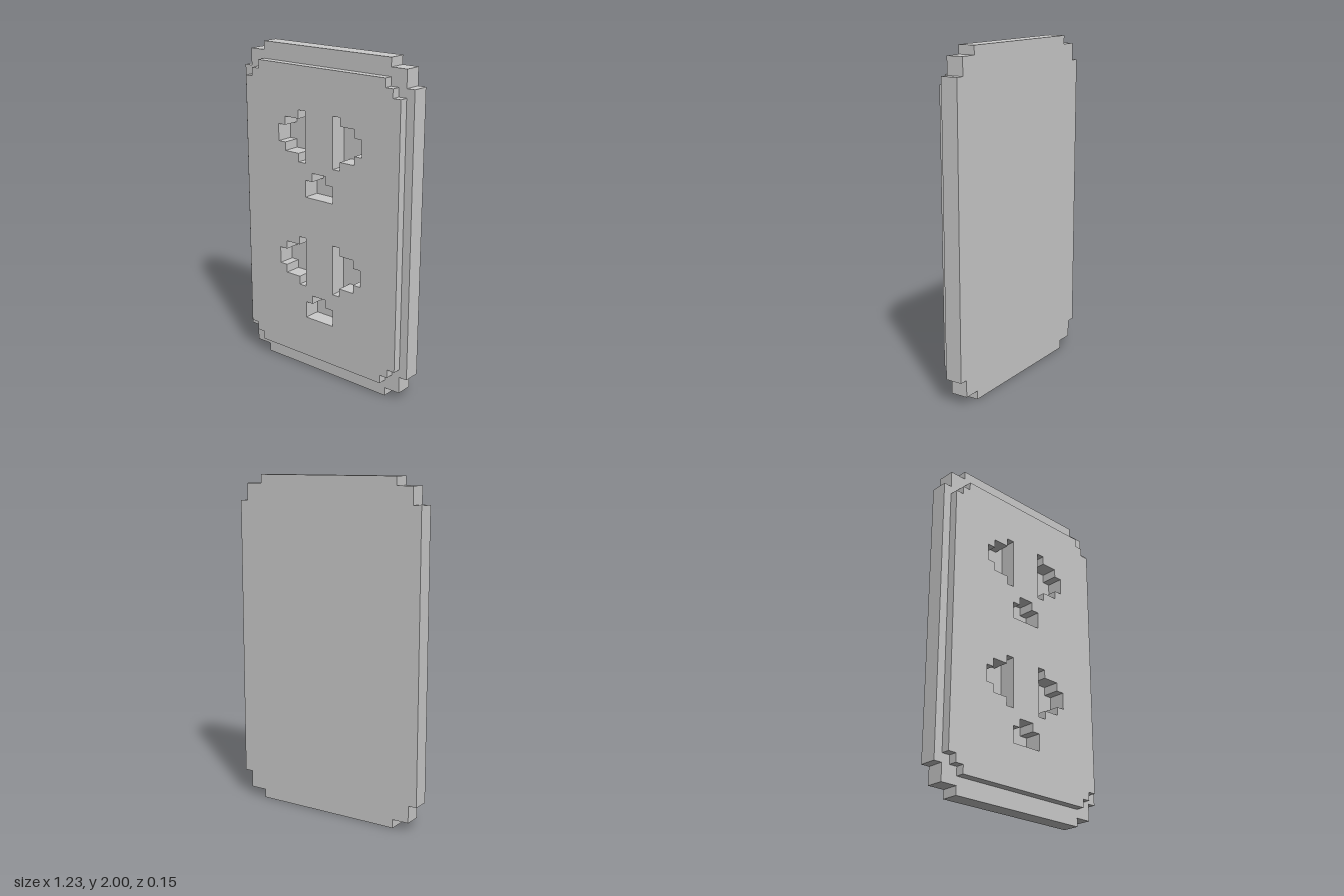
import * as THREE from 'three';

const U = 2 / 39; // side of one grid cell; all outlines are in cells

// Stepped outline mirrored in x and about mid-height: corners are [halfWidth, topY] steps
function steppedOutline(steps) {
  const q = [];
  steps.forEach(([x, y], i) => {
    if (i > 0) q.push([x, steps[i - 1][1]]);
    q.push([x, y]);
  });
  const right = [...q.map(([x, y]) => [x, 39 - y]).reverse(), ...q];
  return [...right, ...right.map(([x, y]) => [-x, y]).reverse()];
}

const toVectors = (pts) => pts.map(([x, y]) => new THREE.Vector2(x * U, y * U));

// Blade slot and earth slot of the upper socket
const blade = [[2, 26], [3, 26], [3, 27], [5, 27], [5, 28], [6, 28],
  [6, 30], [5, 30], [5, 31], [3, 31], [3, 32], [2, 32]];
const earth = [[-2, 22], [2, 22], [2, 24], [1, 24], [1, 25], [-1, 25], [-1, 24], [-2, 24]];

// Both sockets, the lower one 15 cells down
const slots = [];
for (const drop of [0, 15]) {
  const shift = (pts, sx = 1) => pts.map(([x, y]) => [x * sx, y - drop]);
  slots.push(shift(blade), shift(blade, -1), shift(earth));
}

// One layer, a single cell thick, starting at depth z0 (in cells)
function layer(name, outline, z0, holes) {
  const shape = new THREE.Shape(toVectors(outline));
  shape.holes = holes.map((h) => new THREE.Path(toVectors(h)));
  const geometry = new THREE.ExtrudeGeometry(shape, { depth: U, bevelEnabled: false });
  geometry.translate(0, 0, z0 * U);
  const material = new THREE.MeshStandardMaterial({ color: 0xcccccc, flatShading: true });
  const mesh = new THREE.Mesh(geometry, material);
  mesh.name = name;
  return mesh;
}

export function createModel() {
  const group = new THREE.Group();
  group.name = 'wallSocket';
  const base = steppedOutline([[12, 36], [11, 38], [9, 39]]);
  const face = steppedOutline([[11, 35], [10, 36], [9, 37]]);
  group.add(
    layer('backPanel', base, -1.5, []), // closes the slots
    layer('basePlate', base, -0.5, slots),
    layer('facePlate', face, 0.5, slots),
  );
  return group;
}
